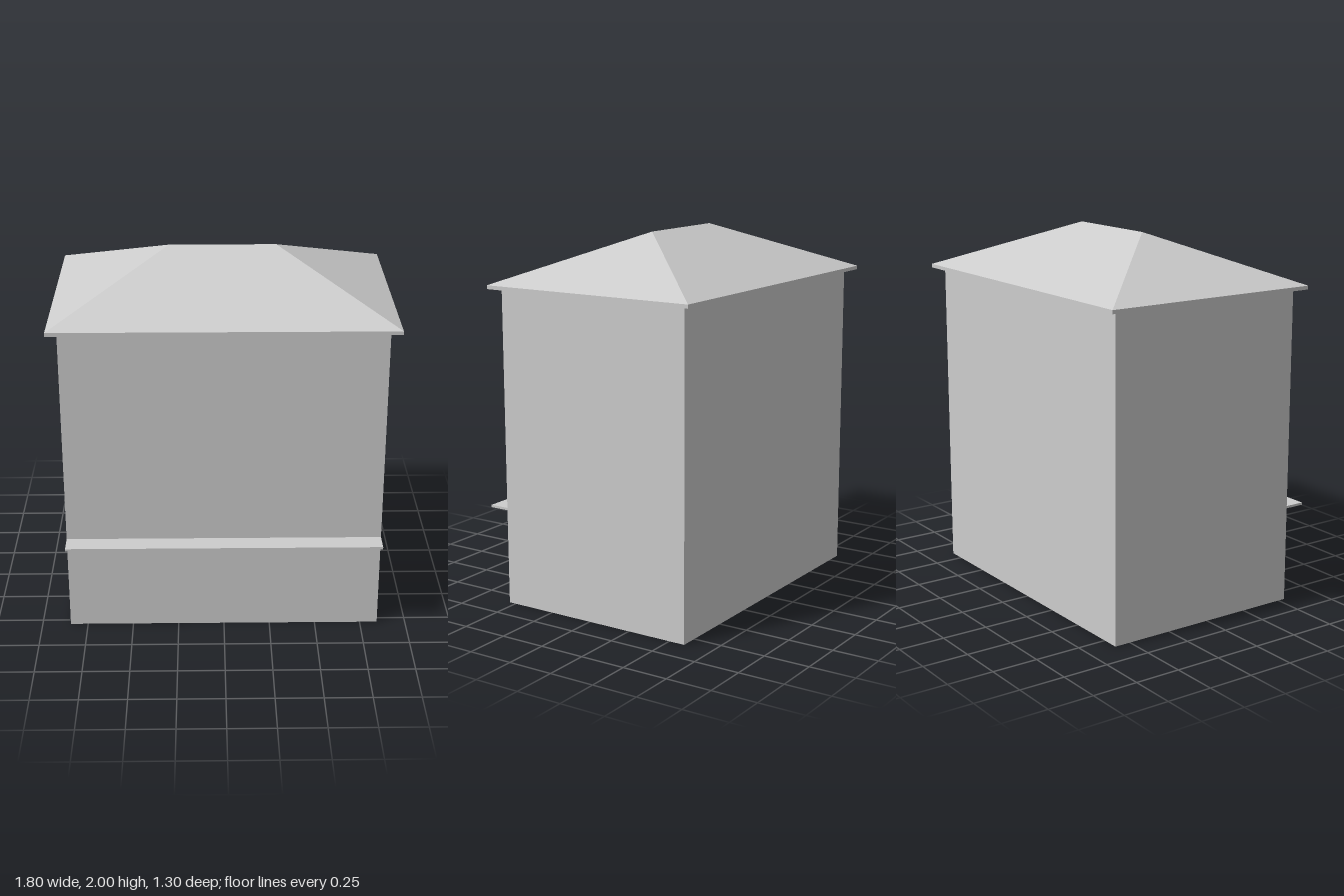
import * as THREE from 'three';

const grey = new THREE.MeshStandardMaterial({ color: 0xcccccc, side: THREE.DoubleSide, flatShading: true });
grey.name = 'plain grey';

const X = 0.845, BACK = -0.59, FRONT = 0.54, WALL = 1.72;
const MID = (BACK + FRONT) / 2;

function add(parent, name, geometry, x, y, z, turn = 0) {
  const mesh = new THREE.Mesh(geometry, grey);
  mesh.name = name;
  mesh.position.set(x, y, z);
  mesh.rotation.y = turn;
  parent.add(mesh);
  return mesh;
}

// Box given by its lower and upper limits on each axis
function block(parent, name, [x0, x1], [y0, y1], [z0, z1]) {
  return add(parent, name, new THREE.BoxGeometry(x1 - x0, y1 - y0, z1 - z0),
    (x0 + x1) / 2, (y0 + y1) / 2, (z0 + z1) / 2);
}

// Hipped roof: a box whose top corners are drawn in to the ridge
function hipGeometry(halfX, halfZ, height, halfRidge) {
  const g = new THREE.BoxGeometry(2 * halfX, height, 2 * halfZ);
  g.translate(0, height / 2, 0);
  const p = g.attributes.position;
  for (let i = 0; i < p.count; i++) {
    if (p.getY(i) > height / 2) {
      p.setX(i, Math.sign(p.getX(i)) * halfRidge);
      p.setZ(i, 0);
    }
  }
  g.computeVertexNormals();
  return g;
}

export function createModel() {
  const model = new THREE.Group();
  model.name = 'kiosk';

  // Thin walls, open at the bottom
  const walls = new THREE.Group();
  walls.name = 'walls';
  model.add(walls);
  const wide = new THREE.PlaneGeometry(2 * X, WALL);
  const narrow = new THREE.PlaneGeometry(FRONT - BACK, WALL);
  add(walls, 'frontWall', wide, 0, WALL / 2, FRONT);
  add(walls, 'backWall', wide, 0, WALL / 2, BACK, Math.PI);
  add(walls, 'leftWall', narrow, X, WALL / 2, MID, Math.PI / 2);
  add(walls, 'rightWall', narrow, -X, WALL / 2, MID, -Math.PI / 2);

  // Counter ledge along the front
  block(model, 'counterLedge', [-X, X], [0.522, 0.535], [FRONT, 0.65]);

  // Raised panels and the window block on the inside of the front wall
  for (let i = 0; i < 4; i++) {
    const x = (i - 1.5) * X / 2;
    block(model, 'innerPanel', [x - 0.175, x + 0.175], [0.26, 0.51], [FRONT - 0.035, FRONT - 0.001]);
  }
  block(model, 'windowBlock', [-0.71, 0.71], [0.71, 1.5], [FRONT - 0.08, FRONT - 0.001]);

  // Roof with its eave slab
  block(model, 'eave', [-0.9, 0.9], [WALL, 1.74], [-0.645, 0.593]);
  add(model, 'hippedRoof', hipGeometry(0.9, 0.619, 0.26, 0.285), 0, 1.74, -0.026);

  return model;
}
